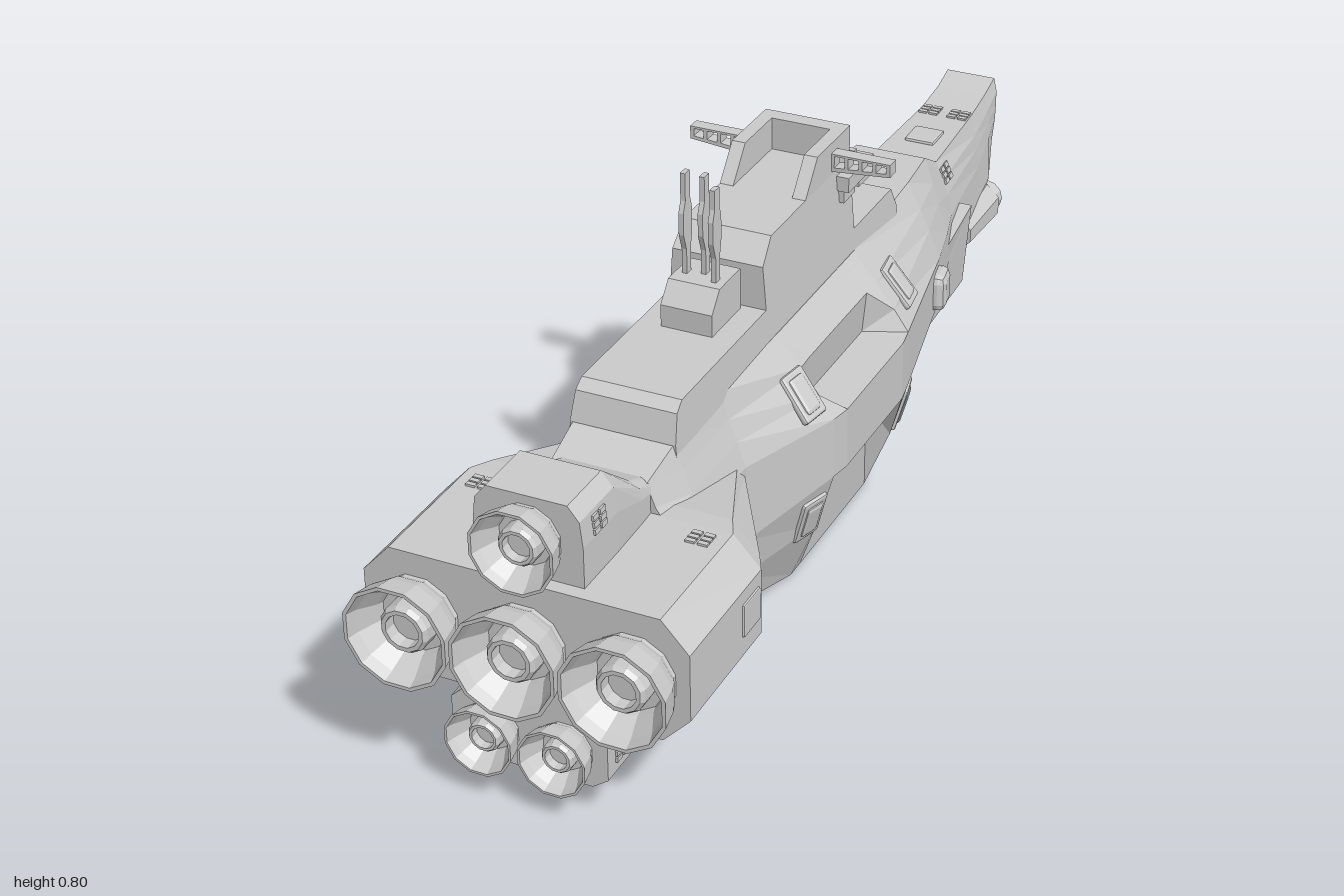
import * as THREE from 'three';
import { RoundedBoxGeometry } from 'three/addons/geometries/RoundedBoxGeometry.js';

const grey = new THREE.MeshStandardMaterial({ color: 0xcccccc, flatShading: true });
const greyOpen = new THREE.MeshStandardMaterial({ color: 0xcccccc, flatShading: true, side: THREE.DoubleSide });

// Solid lofted through mirrored half sections [z, [x, y]...] (bottom to top, z rising)
function loft(sections) {
  const rings = sections.map(([z, ...half]) => [
    ...half.map(([x, y]) => [x, y, z]),
    ...half.slice().reverse().map(([x, y]) => [-x, y, z]),
  ]);
  const n = rings[0].length, pos = [];
  const tri = (...c) => c.forEach((p) => pos.push(...p));
  for (let s = 0; s + 1 < rings.length; s++) {
    for (let i = 0; i < n; i++) {
      const j = (i + 1) % n, a = rings[s], b = rings[s + 1];
      tri(a[i], a[j], b[j]);
      tri(a[i], b[j], b[i]);
    }
  }
  for (const [ring, back] of [[rings[0], true], [rings[rings.length - 1], false]]) {
    const ys = ring.map((p) => p[1]);
    const c = [0, (Math.min(...ys) + Math.max(...ys)) / 2, ring[0][2]];
    for (let i = 0; i < n; i++) {
      const j = (i + 1) % n;
      if (back) tri(c, ring[j], ring[i]); else tri(c, ring[i], ring[j]);
    }
  }
  const g = new THREE.BufferGeometry();
  g.setAttribute('position', new THREE.Float32BufferAttribute(pos, 3));
  g.computeVertexNormals();
  return g;
}

// Side profile of [z, y] points given a width; widthAt(y) scales x
function sideProfile(points, width, widthAt = () => 1) {
  const shape = new THREE.Shape(points.map(([z, y]) => new THREE.Vector2(z, y)));
  const g = new THREE.ExtrudeGeometry(shape, { depth: width, bevelEnabled: false });
  g.translate(0, 0, -width / 2).rotateY(-Math.PI / 2);
  const p = g.attributes.position;
  for (let i = 0; i < p.count; i++) p.setX(i, p.getX(i) * widthAt(p.getY(i)));
  g.computeVertexNormals();
  return g;
}

export function createModel() {
  const model = new THREE.Group();
  const add = (name, geo, x = 0, y = 0, z = 0, mat = grey) => {
    const m = new THREE.Mesh(geo, mat);
    m.name = name;
    m.position.set(x, y, z);
    model.add(m);
    return m;
  };
  const box = (name, w, h, d, x, y, z) => add(name, new THREE.BoxGeometry(w, h, d), x, y, z);

  // Main hull, with notches above and below the side band
  const shoulder = [[0.123, 0], [0.172, 0.12], [0.203, 0.225], [0.203, 0.34], [0.175, 0.38], [0.14, 0.425], [0.095, 0.48]];
  const notch = [[0.123, 0], [0.14, 0.2], [0.21, 0.225], [0.21, 0.34], [0.13, 0.345], [0.138, 0.425], [0.095, 0.48]];
  add('hull', loft([
    [-0.95, [0.04, 0.24], [0.045, 0.28], [0.05, 0.33], [0.055, 0.38], [0.056, 0.41], [0.056, 0.44], [0.05, 0.467]],
    [-0.9, [0.045, 0.18], [0.06, 0.22], [0.065, 0.28], [0.062, 0.36], [0.06, 0.39], [0.058, 0.42], [0.05, 0.452]],
    [-0.82, [0.05, 0.175], [0.07, 0.2], [0.075, 0.25], [0.07, 0.33], [0.066, 0.37], [0.062, 0.4], [0.052, 0.44]],
    [-0.61, [0.07, 0.16], [0.085, 0.2], [0.1, 0.25], [0.097, 0.33], [0.088, 0.37], [0.078, 0.4], [0.062, 0.435]],
    [-0.53, [0.08, 0.155], [0.1, 0.2], [0.12, 0.25], [0.12, 0.33], [0.1, 0.39], [0.087, 0.43], [0.07, 0.48]],
    [-0.42, [0.09, 0.14], [0.12, 0.19], [0.147, 0.24], [0.147, 0.335], [0.125, 0.39], [0.107, 0.43], [0.08, 0.48]],
    [-0.13, ...shoulder], [-0.09, ...notch], [0.16, ...notch], [0.2, ...shoulder],
    [0.41, [0.1, 0.05], [0.12, 0.12], [0.135, 0.2], [0.135, 0.345], [0.12, 0.39], [0.105, 0.43], [0.09, 0.48]],
    [0.58, [0.1, 0.05], [0.12, 0.12], [0.135, 0.2], [0.135, 0.345], [0.12, 0.39], [0.105, 0.43], [0.09, 0.475]],
    [0.67, [0.1, 0.05], [0.12, 0.12], [0.135, 0.2], [0.135, 0.345], [0.12, 0.38], [0.1, 0.41], [0.085, 0.45]],
  ]));

  // Stepped superstructure and command tower
  const taper = (y) => 1.05 - (y - 0.477) * 0.85;
  add('superstructure', sideProfile([[-0.33, 0.44], [-0.33, 0.48], [-0.31, 0.52], [-0.14, 0.52], [-0.14, 0.66], [0.19, 0.66],
    [0.23, 0.62], [0.23, 0.54], [0.55, 0.54], [0.57, 0.525], [0.585, 0.475], [0.585, 0.44]], 0.18, taper));
  for (const s of [-1, 1]) {
    add('towerParapet', sideProfile([[-0.14, 0.65], [-0.14, 0.72], [0, 0.72], [0.05, 0.66], [0.05, 0.65]], 0.025), s * 0.068);
  }
  box('towerFrontWall', 0.15, 0.07, 0.03, 0, 0.685, -0.125);

  // Lookout gallery around the tower
  box('gallery', 0.2, 0.035, 0.05, 0, 0.622, -0.163);
  box('galleryRail', 0.15, 0.015, 0.012, 0, 0.646, -0.18);
  for (const s of [-1, 1]) {
    box('galleryWing', 0.03, 0.028, 0.11, s * 0.09, 0.634, -0.135);
    box('galleryBracket', 0.018, 0.025, 0.05, s * 0.085, 0.608, -0.11);
  }

  // Lattice yards
  const yard = new THREE.Shape([[0.07, 0.665], [0.19, 0.676], [0.19, 0.7], [0.07, 0.7]].map((p) => new THREE.Vector2(...p)));
  for (let i = 0; i < 4; i++) {
    const x = 0.086 + i * 0.026;
    yard.holes.push(new THREE.Path([[x, 0.674 + i * 0.002], [x, 0.696], [x + 0.019, 0.696], [x + 0.019, 0.676 + i * 0.002]]
      .map((p) => new THREE.Vector2(...p))));
  }
  const yardGeo = new THREE.ExtrudeGeometry(yard, { depth: 0.025, bevelEnabled: false }).translate(0, 0, -0.0125);
  for (const turn of [0, Math.PI]) add('yard', yardGeo, 0, 0, -0.072).rotation.y = turn;

  // Blade masts on their pedestal
  add('mastPedestal', sideProfile([[0.24, 0.53], [0.24, 0.615], [0.32, 0.615], [0.35, 0.58], [0.35, 0.53]], 0.094));
  [[-0.03, 0.8, 0.285], [0, 0.795, 0.275], [0.028, 0.785, 0.295]].forEach(([x, top, z]) => {
    add('mast', sideProfile([[-0.008, 0.6], [0.008, 0.6], [0.008, 0.66], [0.018, 0.69], [0.018, 0.73], [0.01, 0.75],
      [0.01, top], [-0.008, top], [-0.008, 0.75], [-0.014, 0.73], [-0.014, 0.69], [-0.008, 0.66]], 0.009), x, 0, z);
  });

  // Engine housings
  const wide = [[0.235, 0.175], [0.283, 0.225], [0.283, 0.345], [0.235, 0.398]];
  add('mainEngineHousing', loft([
    [0.41, [0.12, 0.195], [0.133, 0.215], [0.133, 0.33], [0.12, 0.35]],
    [0.63, [0.215, 0.177], [0.262, 0.225], [0.262, 0.342], [0.215, 0.395]],
    [0.67, ...wide], [0.925, ...wide],
  ]));
  add('upperEngineHousing', loft([
    [0.64, [0.09, 0.39], [0.09, 0.43], [0.085, 0.44], [0.07, 0.445]],
    [0.7, [0.093, 0.39], [0.093, 0.44], [0.088, 0.46], [0.07, 0.47]],
    [0.79, [0.095, 0.39], [0.095, 0.47], [0.09, 0.515], [0.07, 0.54]],
    [0.9, [0.095, 0.39], [0.095, 0.47], [0.09, 0.515], [0.07, 0.54]],
  ]));
  add('lowerEngineHousing', loft([
    [0.4, [0.1, 0.05], [0.122, 0.075], [0.128, 0.17], [0.12, 0.21]],
    [0.57, [0.105, 0.048], [0.13, 0.07], [0.134, 0.16], [0.12, 0.2]],
    [0.58, [0.11, 0.045], [0.138, 0.065], [0.138, 0.165], [0.115, 0.19]],
    [0.925, [0.11, 0.045], [0.138, 0.065], [0.138, 0.145], [0.1, 0.18]],
  ]));

  // Twelve-sided engine bells with an inner core
  const bell = [[0.78, -0.1], [0.78, 0.15], [0.86, 0.3], [0.92, 0.5], [1, 1], [0.93, 1], [0.86, 0.75], [0.66, 0.35],
    [0.62, 0.2], [0.46, 0.2], [0.46, 0.6], [0.4, 0.7], [0.32, 0.7], [0.32, 0.4], [0, 0.4]];
  [[0, 0.285, 0.92, 0.094, 0.08], [0.188, 0.285, 0.92, 0.094, 0.08], [-0.188, 0.285, 0.92, 0.094, 0.08],
    [0, 0.467, 0.895, 0.075, 0.06], [0.065, 0.107, 0.92, 0.061, 0.055], [-0.065, 0.107, 0.92, 0.061, 0.055],
  ].forEach(([x, y, z, r, len]) => {
    const geo = new THREE.LatheGeometry(bell.map(([a, b]) => new THREE.Vector2(a * r, b * len)), 12);
    add('engineBell', geo.rotateY(Math.PI / 12).rotateX(Math.PI / 2), x, y, z, greyOpen);
  });

  // Bow: chin, side pods, launch tubes and skirt
  add('chin', loft([
    [-1, [0.015, 0.185], [0.025, 0.2], [0.02, 0.215]],
    [-0.945, [0.025, 0.15], [0.05, 0.2], [0.045, 0.262]],
    [-0.88, [0.03, 0.18], [0.06, 0.21], [0.055, 0.29]],
  ]));
  const tube = (r, len) => new THREE.LatheGeometry(
    [[r * 0.9, 0], [r, len], [r * 0.75, len], [r * 0.6, len * 0.4], [0, len * 0.4]].map((p) => new THREE.Vector2(...p)), 12)
    .rotateX(-Math.PI / 2);
  for (const y of [0.42, 0.335]) add('launchTube', tube(0.034, 0.02), 0, y, -0.944, greyOpen);
  for (const s of [-1, 1]) {
    const pod = new THREE.CylinderGeometry(0.034, 0.046, 0.15, 8).rotateY(Math.PI / 8).rotateX(Math.PI / 2);
    add('bowPod', pod, s * 0.058, 0.225, -0.8).rotation.y = s * 0.06;
    add('podTube', tube(0.034, 0.025), s * 0.062, 0.232, -0.872, greyOpen);
  }
  add('bowSkirt', sideProfile([[-0.67, 0.325], [-0.67, 0.155], [-0.47, 0.14], [-0.41, 0.155], [-0.53, 0.29]], 0.235,
    (y) => (y < 0.2 ? 0.86 : 0.98)));
  add('bowKeel', sideProfile([[-0.9, 0.25], [-0.9, 0.18], [-0.74, 0.168], [-0.66, 0.165], [-0.66, 0.28]], 0.13));
  add('bellyHousing', sideProfile([[-0.14, 0.04], [-0.29, 0.04], [-0.3, 0.05], [-0.38, 0.12], [-0.38, 0.16], [-0.14, 0.16]], 0.13));

  // Fittings set onto the surface found along a ray
  model.updateMatrixWorld(true);
  const bodies = model.children.slice();
  const fit = (name, from, dir, make) => {
    const hit = new THREE.Raycaster(new THREE.Vector3(...from), new THREE.Vector3(...dir)).intersectObjects(bodies, false)[0];
    if (!hit) return;
    const g = new THREE.Group();
    g.name = name;
    g.position.copy(hit.point);
    g.lookAt(hit.point.clone().add(hit.face.normal));
    make().forEach((m) => g.add(m));
    model.add(g);
  };
  const plate = (w, h, t) => () => [new THREE.Mesh(new RoundedBoxGeometry(w, h, t, 1, Math.min(w, h, t) * 0.35), grey)];
  const hatch = () => [
    ...plate(0.062, 0.09, 0.014)(),
    ...plate(0.044, 0.07, 0.022)(),
  ];
  const vent = () => [-1, 1].flatMap((i) => [-1, 0, 1].map((j) => {
    const m = new THREE.Mesh(new THREE.BoxGeometry(0.017, 0.009, 0.008), grey);
    m.position.set(i * 0.011, j * 0.012, 0);
    return m;
  }));
  for (const s of [-1, 1]) {
    const side = (name, z, y, make) => fit(name, [s, y, z], [-s, 0, 0], make);
    for (const [z, y] of [[0.235, 0.395], [-0.2, 0.395], [0.235, 0.155], [-0.185, 0.155]]) side('hatch', z, y, hatch);
    for (const [z, y] of [[-0.63, 0.405], [-0.7, 0.195], [0.88, 0.1], [0.845, 0.49]]) side('vent', z, y, vent);
    side('sidePanel', 0.71, 0.29, plate(0.06, 0.06, 0.008));
    side('sensorBox', -0.4, 0.285, plate(0.065, 0.075, 0.045));
    fit('vent', [s * 0.03, 2, -0.81], [0, -1, 0], vent);
    fit('vent', [s * 0.195, 2, 0.705], [0, -1, 0], vent);
  }
  fit('deckHatch', [0.001, 2, -0.7], [0, -1, 0], plate(0.06, 0.06, 0.012));
  return model;
}
